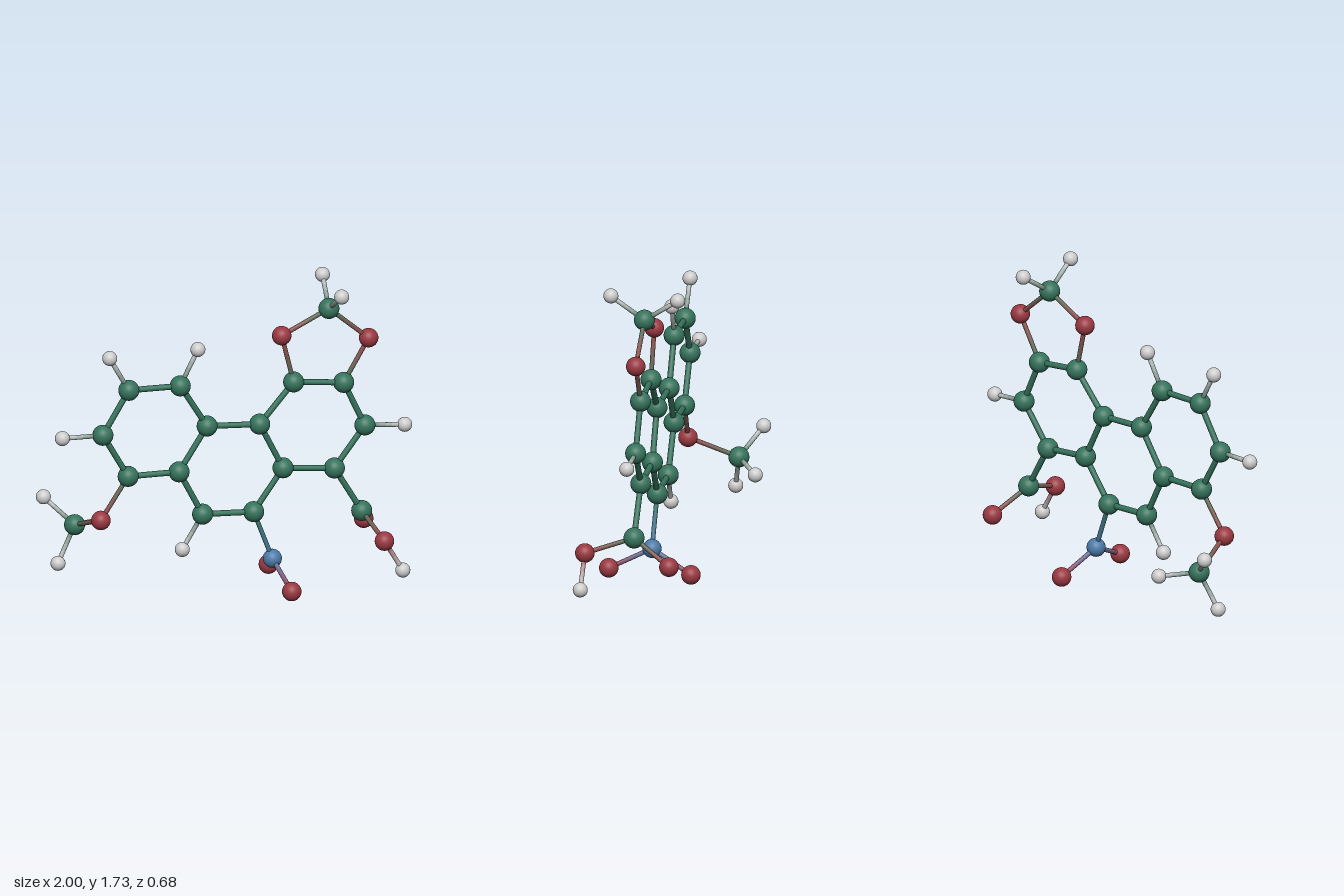
import * as THREE from 'three';

// Ball types: radius and colour
const TYPES = {
  C: { name: 'carbonBall', r: 0.056, color: 0x35735c },
  O: { name: 'oxygenBall', r: 0.052, color: 0x9a3841 },
  N: { name: 'nitrogenBall', r: 0.051, color: 0x4b7aa8 },
  H: { name: 'hydrogenBall', r: 0.04, color: 0xcccccc },
};

// Each ball: type, position, and the names of the balls it joins
const ATOMS = {
  // outer ring
  a1: ['C', [-0.575, 1.215, 0.07], 'a2 a6 h1'],
  a2: ['C', [-0.29, 1.21, 0.06], 'a3 h2'],
  a3: ['C', [-0.14, 0.963, 0.05], 'a4 b1'],
  a4: ['C', [-0.297, 0.72, 0.062], 'a5 b4'],
  a5: ['C', [-0.58, 0.725, 0.075], 'a6 mO'],
  a6: ['C', [-0.72, 0.975, 0.08], 'h6'],
  h1: ['H', [-0.68, 1.407, 0.07], ''],
  h2: ['H', [-0.19, 1.404, 0.047], ''],
  h6: ['H', [-0.944, 0.979, 0.085], ''],
  // middle ring
  b1: ['C', [0.15, 0.945, 0.045], 'b2 c1'],
  b2: ['C', [0.28, 0.68, 0.037], 'b3 c4'],
  b3: ['C', [0.115, 0.45, 0.052], 'b4 n'],
  b4: ['C', [-0.168, 0.466, 0.062], 'h4'],
  h4: ['H', [-0.283, 0.28, 0.076], ''],
  // third ring
  c1: ['C', [0.34, 1.163, 0.03], 'c2 d1'],
  c2: ['C', [0.618, 1.13, 0.018], 'c3 d3'],
  c3: ['C', [0.735, 0.875, 0.016], 'c4 h3'],
  c4: ['C', [0.564, 0.65, 0.03], 'e'],
  h3: ['H', [0.955, 0.856, 0.01], ''],
  // five-sided ring
  d1: ['O', [0.275, 1.433, 0.028], 'd2'],
  d2: ['C', [0.537, 1.56, 0.017], 'd3 hd1 hd2'],
  d3: ['O', [0.757, 1.37, 0.01], ''],
  hd1: ['H', [0.563, 1.69, 0.195], ''],
  hd2: ['H', [0.547, 1.685, -0.168], ''],
  // methoxy arm
  mO: ['O', [-0.735, 0.495, 0.095], 'mC'],
  mC: ['C', [-0.815, 0.38, -0.165], 'm1 m2 m3'],
  m1: ['H', [-0.962, 0.516, -0.265], ''],
  m2: ['H', [-0.643, 0.344, -0.298], ''],
  m3: ['H', [-0.917, 0.185, -0.122], ''],
  // nitro arm
  n: ['N', [0.217, 0.175, 0.055], 'n1 n2'],
  n1: ['O', [0.25, 0.055, -0.167], ''],
  n2: ['O', [0.268, 0.065, 0.28], ''],
  // acid arm
  e: ['C', [0.714, 0.393, 0.03], 'e1 e2'],
  e1: ['O', [0.776, 0.265, -0.177], ''],
  e2: ['O', [0.776, 0.308, 0.285], 'e3'],
  e3: ['H', [0.877, 0.133, 0.285], ''],
};

const UP = new THREE.Vector3(0, 1, 0);

const materials = new Map();
function material(color) {
  const key = color.getHex();
  if (!materials.has(key)) materials.set(key, new THREE.MeshStandardMaterial({ color }));
  return materials.get(key);
}

// Stick between two balls, its colour blending from one to the other in steps
function makeBond([typeA, posA], [typeB, posB]) {
  const bond = new THREE.Group();
  bond.name = 'bond';
  const a = new THREE.Vector3(...posA), b = new THREE.Vector3(...posB);
  const dir = b.clone().sub(a);
  const length = dir.length();
  const radius = typeA === 'C' && typeB === 'C' ? 0.016 : 0.0125;
  const steps = typeA === typeB ? 1 : 6;
  const colorA = new THREE.Color(TYPES[typeA].color);
  const colorB = new THREE.Color(TYPES[typeB].color);
  const geometry = new THREE.CylinderGeometry(radius, radius, length / steps, 16, 1, true);
  for (let i = 0; i < steps; i++) {
    const t = (i + 0.5) / steps;
    const stick = new THREE.Mesh(geometry, material(colorA.clone().lerp(colorB, t)));
    stick.name = 'bondStick';
    stick.position.y = t * length;
    bond.add(stick);
  }
  bond.position.copy(a);
  bond.quaternion.setFromUnitVectors(UP, dir.normalize());
  return bond;
}

export function createModel() {
  const model = new THREE.Group();
  model.name = 'molecule';

  const spheres = {};
  for (const [key, { r }] of Object.entries(TYPES)) spheres[key] = new THREE.SphereGeometry(r, 32, 20);

  for (const atom of Object.values(ATOMS)) {
    const [type, pos, links] = atom;
    const ball = new THREE.Mesh(spheres[type], material(new THREE.Color(TYPES[type].color)));
    ball.name = TYPES[type].name;
    ball.position.set(...pos);
    model.add(ball);
    for (const link of links.split(' ').filter(Boolean)) model.add(makeBond(atom, ATOMS[link]));
  }
  return model;
}
